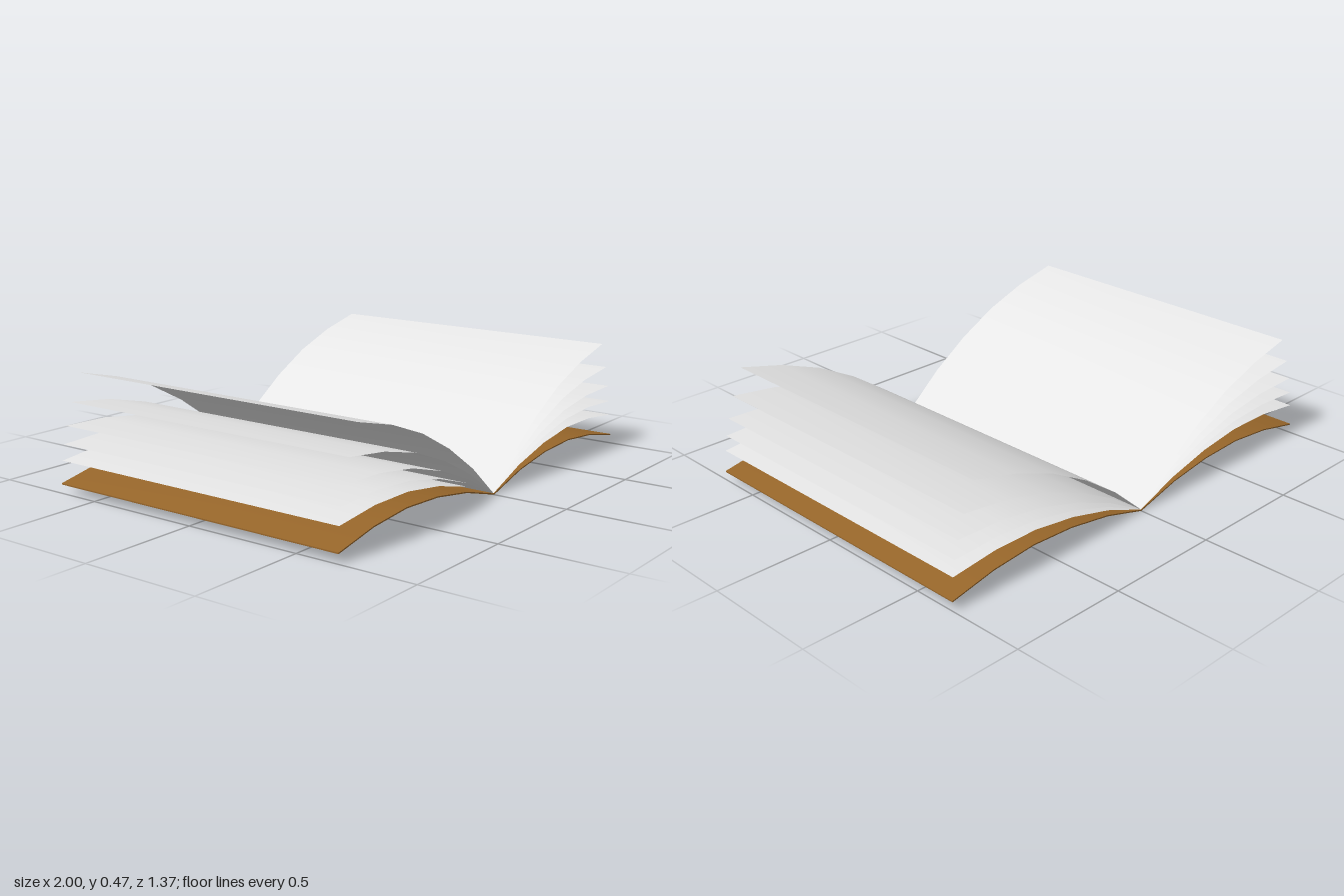
import * as THREE from 'three';
import { toCreasedNormals } from 'three/addons/utils/BufferGeometryUtils.js';

// Arched profile of one half of the book, from spine to outer edge
const ARCH = [[0, 0], [0.2, 0.055], [0.4, 0.086], [0.6, 0.095], [0.8, 0.077], [1, 0.036]];
const SPINE_Y = 0.005;
const COVER_DEPTH = 1.366;
const PAGE_DEPTH = 1.36;
// How far each leaf is lifted off the cover, in degrees
const LEAF_ANGLES = [5.2, 8.9, 13.1, 18.5, 25.4];

export function createModel() {
  const book = new THREE.Group();
  book.name = 'openBook';

  const coverMaterial = new THREE.MeshStandardMaterial({ color: 0x97662a });
  coverMaterial.name = 'brownCover';
  const paperMaterial = new THREE.MeshStandardMaterial({ color: 0xe6e6e6, side: THREE.DoubleSide });
  paperMaterial.name = 'whitePaper';

  // Cover: both arches in one thin board
  const left = ARCH.slice(1).reverse().map(([x, y]) => [-x, y]);
  const top = [...left, ...ARCH].map(([x, y]) => new THREE.Vector2(x, y + SPINE_Y));
  const bottom = top.map((p) => new THREE.Vector2(p.x, p.y - SPINE_Y)).reverse();
  const board = new THREE.ExtrudeGeometry(new THREE.Shape([...bottom, ...top]), {
    depth: COVER_DEPTH, bevelEnabled: false,
  });
  board.translate(0, 0, -COVER_DEPTH / 2);
  const cover = new THREE.Mesh(toCreasedNormals(board, 0.6), coverMaterial);
  cover.name = 'cover';
  book.add(cover);

  // Leaf: a sheet bent to the arch and swung up about the spine
  function makeLeaf(side, degrees) {
    const steps = ARCH.length - 1;
    const sheet = new THREE.PlaneGeometry(1, PAGE_DEPTH, steps, 1).rotateX(-Math.PI / 2);
    const position = sheet.attributes.position;
    const angle = THREE.MathUtils.degToRad(degrees);
    const c = Math.cos(angle), s = Math.sin(angle);
    for (let i = 0; i < position.count; i++) {
      const t = 0.5 + side * position.getX(i);
      const [x, y] = ARCH[Math.round(t * steps)];
      position.setX(i, side * (x * c - y * s));
      position.setY(i, SPINE_Y + x * s + y * c);
    }
    sheet.computeVertexNormals();
    return new THREE.Mesh(sheet, paperMaterial);
  }

  // Five fanned leaves on each side
  for (const side of [1, -1]) {
    const pages = new THREE.Group();
    pages.name = side > 0 ? 'leftPages' : 'rightPages';
    LEAF_ANGLES.forEach((degrees, i) => {
      const leaf = makeLeaf(side, degrees);
      leaf.name = `page${i + 1}`;
      pages.add(leaf);
    });
    book.add(pages);
  }

  return book;
}
